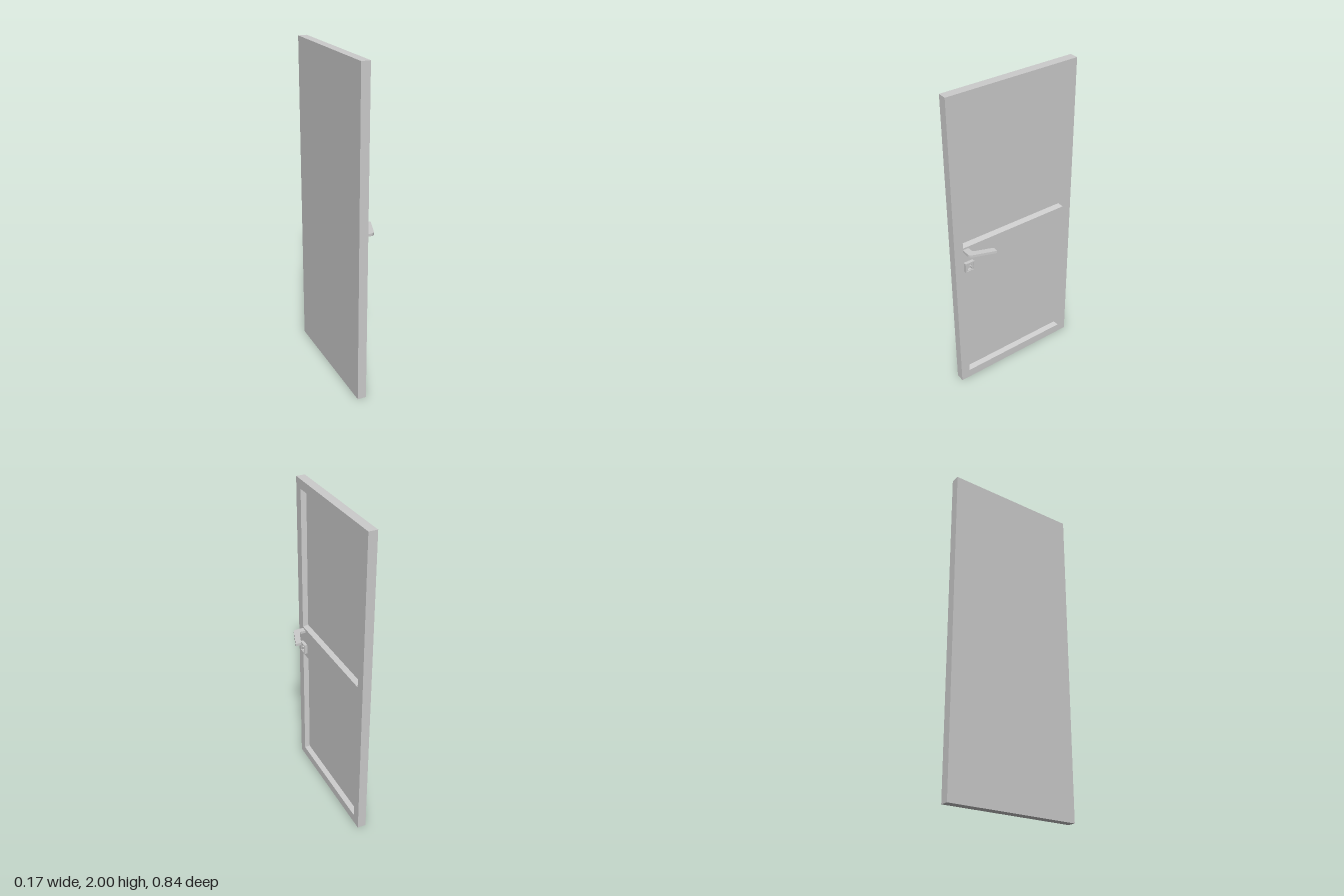
import * as THREE from 'three';

const material = new THREE.MeshStandardMaterial({ color: 0xcccccc });
const BACK = -0.087, FACE = -0.033, RECESS = 0.03, BEVEL = 0.012;
const HALF_WIDTH = 0.422, HEIGHT = 2;

function rect(Type, x0, x1, y0, y1) {
  return new Type([[x0, y0], [x1, y0], [x1, y1], [x0, y1]].map(p => new THREE.Vector2(...p)));
}

function addMesh(group, name, geometry) {
  const mesh = new THREE.Mesh(geometry, material);
  mesh.name = name;
  group.add(mesh);
  return mesh;
}

// Extrudes a shape drawn in (-z, y) outwards along +x
function extrudeOut(shape, depth, x) {
  return new THREE.ExtrudeGeometry(shape, { depth, bevelEnabled: false, curveSegments: 16 })
    .rotateY(Math.PI / 2).translate(x, 0, 0);
}

// Stiles and rails around two panels with sloping recess walls
function doorFrame() {
  const panels = [[0.058, 0.845], [1.044, 1.944]];
  const halfPanel = 0.364;
  const shape = rect(THREE.Shape, -HALF_WIDTH, HALF_WIDTH, 0, HEIGHT);
  for (const [y0, y1] of panels) shape.holes.push(rect(THREE.Path, -halfPanel, halfPanel, y0, y1));
  const geometry = extrudeOut(shape, RECESS, FACE - RECESS);
  // Pull the deep edge of each opening inwards to make the slope
  const p = geometry.attributes.position;
  for (let i = 0; i < p.count; i++) {
    const y = p.getY(i), z = p.getZ(i);
    if (p.getX(i) > FACE - RECESS / 2 || Math.abs(z) > 0.4) continue;
    const [y0, y1] = y < 0.95 ? panels[0] : panels[1];
    p.setY(i, y + (y < (y0 + y1) / 2 ? BEVEL : -BEVEL));
    p.setZ(i, z - Math.sign(z) * BEVEL);
  }
  geometry.computeVertexNormals();
  return geometry;
}

// Bent lever, outlined from above as (x, -z)
function leverGeometry() {
  const s = new THREE.Shape();
  s.moveTo(FACE, -0.365);
  s.lineTo(0.012, -0.365);
  s.quadraticCurveTo(0.033, -0.365, 0.04, -0.343);
  s.lineTo(0.086, -0.21);
  s.lineTo(0.05, -0.21);
  s.lineTo(0.015, -0.308);
  s.quadraticCurveTo(0.008, -0.328, -0.01, -0.328);
  s.lineTo(FACE, -0.328);
  return new THREE.ExtrudeGeometry(s, { depth: 0.016, bevelEnabled: false, curveSegments: 10 })
    .rotateX(-Math.PI / 2).translate(0, 1.017, 0);
}

// Round-topped slot that flares towards its foot
function keyholePath(cx, cy) {
  const k = new THREE.Path();
  k.moveTo(cx - 0.014, cy - 0.022);
  k.lineTo(cx + 0.014, cy - 0.022);
  k.lineTo(cx + 0.009, cy - 0.004);
  k.absarc(cx, cy + 0.006, 0.0135, -0.83, Math.PI + 0.83, false);
  k.closePath();
  return k;
}

export function createModel() {
  const model = new THREE.Group();
  model.name = 'door';

  const backDepth = FACE - RECESS - BACK;
  addMesh(model, 'doorBack', new THREE.BoxGeometry(backDepth, HEIGHT, HALF_WIDTH * 2))
    .position.set(BACK + backDepth / 2, HEIGHT / 2, 0);
  addMesh(model, 'doorFrame', doorFrame());
  addMesh(model, 'leverHandle', leverGeometry());

  // Lock: raised rim with a keyhole plate set slightly inside it
  const lock = new THREE.Group();
  lock.name = 'lock';
  const u = -0.334, v = 0.909, w = 0.03, h = 0.032, rim = 0.006;
  const rimShape = rect(THREE.Shape, u - w, u + w, v - h, v + h);
  rimShape.holes.push(rect(THREE.Path, u - w + rim, u + w - rim, v - h + rim, v + h - rim));
  addMesh(lock, 'lockRim', extrudeOut(rimShape, 0.02, FACE));
  const plate = rect(THREE.Shape, u - w + rim, u + w - rim, v - h + rim, v + h - rim);
  plate.holes.push(keyholePath(u, v));
  addMesh(lock, 'keyholePlate', extrudeOut(plate, 0.015, FACE));
  model.add(lock);

  return model;
}
